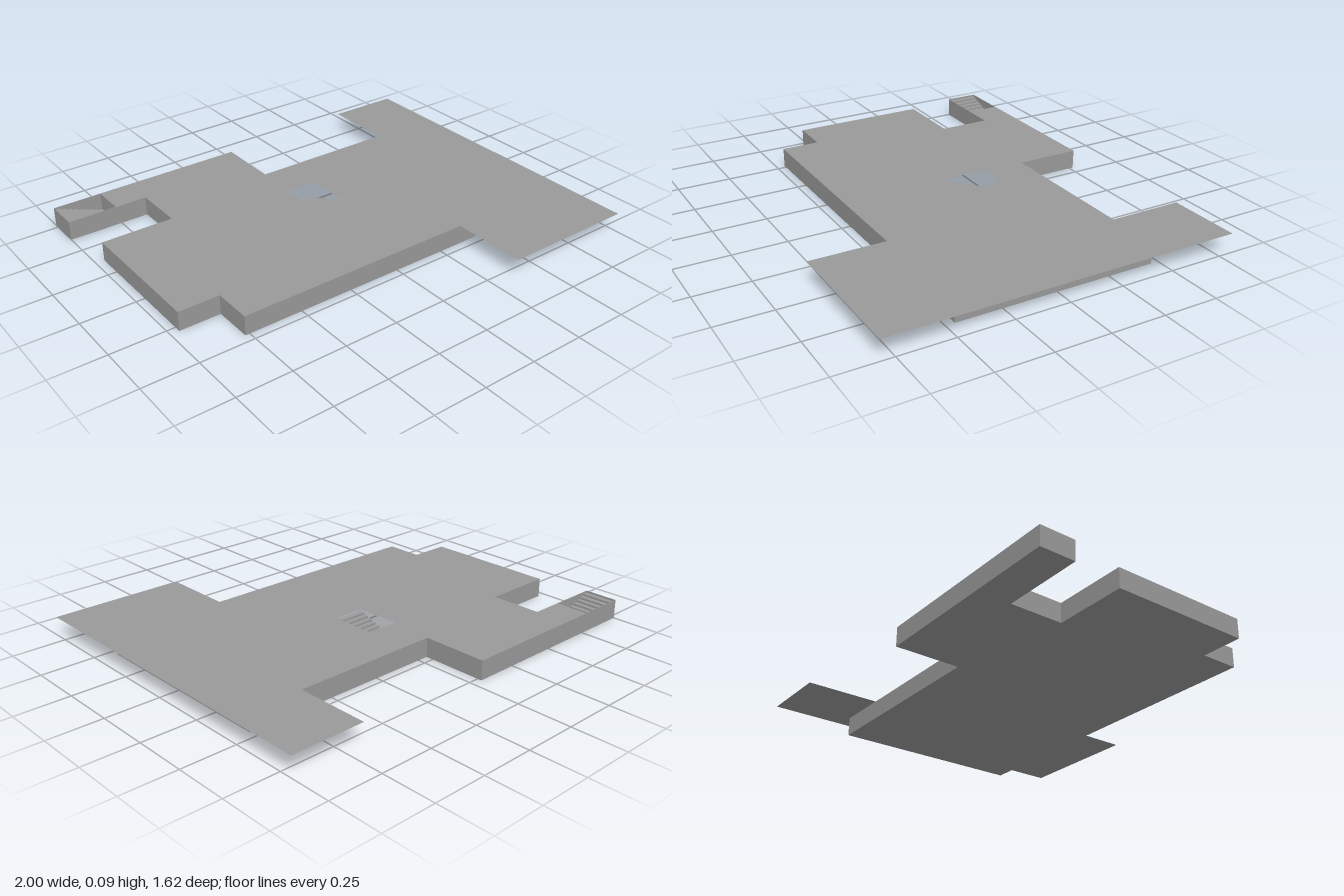
import * as THREE from 'three';

const H = 0.09; // storey height

// Shape from plan points [x, z]
const plan = (pts) => new THREE.Shape(pts.map(([x, z]) => new THREE.Vector2(x, -z)));

// Straight flight: starts high at the origin and descends along +x
function stairGeometry(run, width, count) {
  const s = new THREE.Shape();
  s.moveTo(0, 0);
  for (let i = 0; i < count; i++) {
    const y = (H * (count - i)) / (count + 1);
    s.lineTo((run * i) / count, y);
    s.lineTo((run * (i + 1)) / count, y);
  }
  s.lineTo(run, 0);
  s.closePath();
  return new THREE.ExtrudeGeometry(s, { depth: width, bevelEnabled: false });
}

export function createModel() {
  const model = new THREE.Group();
  const grey = new THREE.MeshStandardMaterial({ color: 0x999999 });
  grey.name = 'grey';
  const greySheet = new THREE.MeshStandardMaterial({ color: 0x999999, side: THREE.DoubleSide });
  greySheet.name = 'greySheet';

  const add = (name, geometry, material = grey) => {
    const mesh = new THREE.Mesh(geometry, material);
    mesh.name = name;
    model.add(mesh);
    return mesh;
  };

  // Storey block with the stairwell cut through it
  const body = plan([
    [-0.77, -0.77], [-0.05, -0.77], [-0.05, -0.465], [0.91, -0.465],
    [0.91, 0.46], [-0.77, 0.46], [-0.77, 0.28], [-0.96, 0.28],
    [-0.96, -0.365], [-0.62, -0.365], [-0.62, -0.61], [-0.77, -0.61],
  ]);
  body.holes.push(plan([[-0.06, -0.26], [0.09, -0.26], [0.09, -0.045], [-0.06, -0.045]]));
  add('storeyBlock', new THREE.ExtrudeGeometry(body, { depth: H, bevelEnabled: false })
    .rotateX(-Math.PI / 2));

  // Paper-thin terrace overhanging three sides at roof level
  const terrace = plan([
    [0.36, 0.46], [0.36, 0.81], [1, 0.81], [1, -0.81],
    [0.655, -0.81], [0.655, -0.465], [0.91, -0.465], [0.91, 0.46],
  ]);
  add('terrace', new THREE.ShapeGeometry(terrace).rotateX(-Math.PI / 2).translate(0, H, 0), greySheet);

  // Central stair, descending towards the back
  add('centralStair', stairGeometry(0.215, 0.15, 9).rotateY(Math.PI / 2).translate(-0.06, 0, -0.045));

  // End stair in the narrow wing, descending towards the block
  add('wingStair', stairGeometry(0.228, 0.156, 9).translate(-0.998, 0, -0.768));

  // Thin walls around the end stair
  const t = 0.002;
  for (const [name, z] of [['wingBackWall', -0.77 + t / 2], ['wingFrontWall', -0.61 - t / 2]]) {
    add(name, new THREE.BoxGeometry(0.23, H, t)).position.set(-0.885, H / 2, z);
  }
  add('wingEndWall', new THREE.BoxGeometry(t, H, 0.156)).position.set(-1 + t / 2, H / 2, -0.69);

  return model;
}
